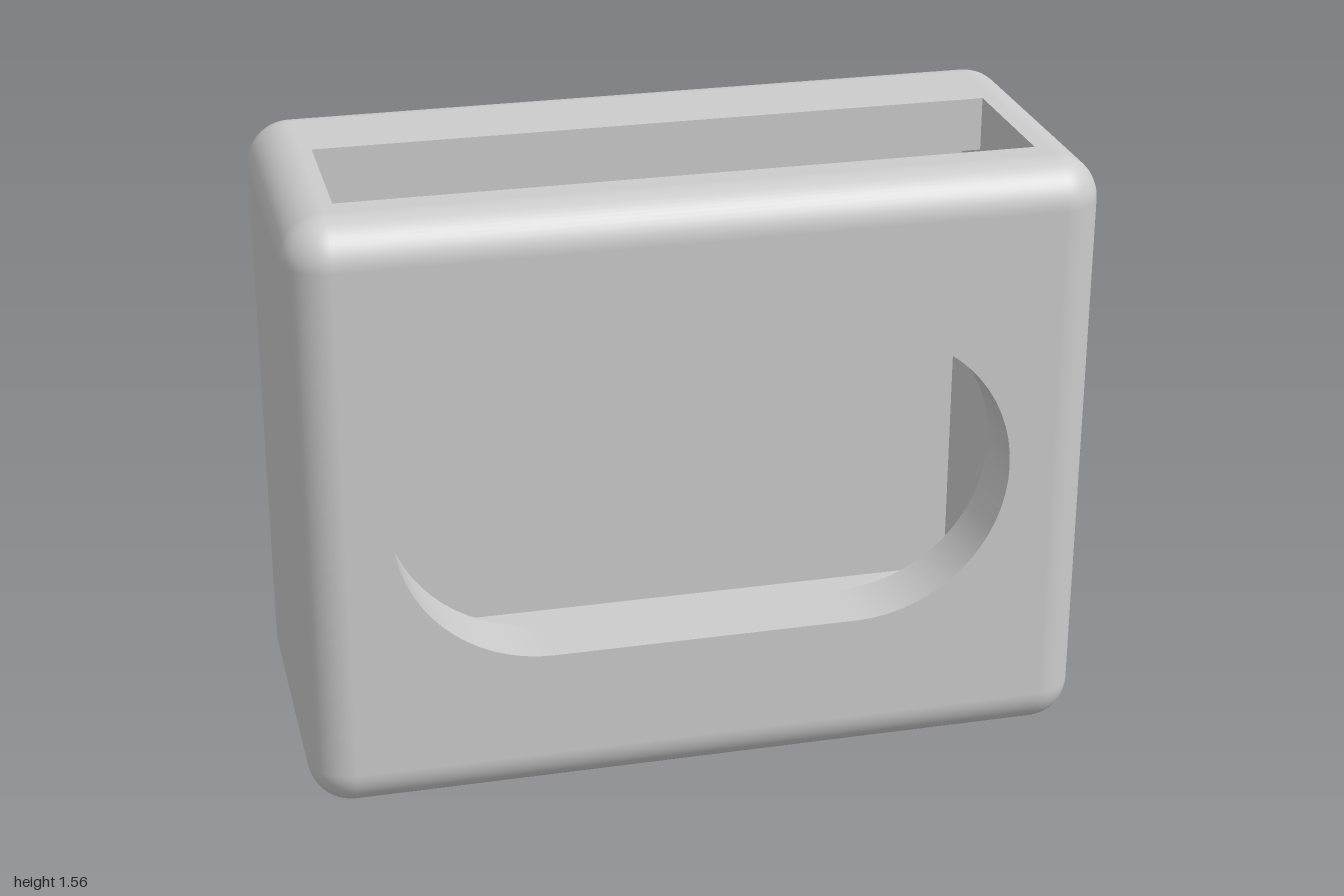
import * as THREE from 'three';
import { toCreasedNormals } from 'three/addons/utils/BufferGeometryUtils.js';
import { RoundedBoxGeometry } from 'three/addons/geometries/RoundedBoxGeometry.js';

const W = 2, H = 1.556, D = 0.889, R = 0.111;      // outer case and edge radius
const SLOT_X = 0.861, SLOT_FRONT = 0.278, SLOT_BACK = -0.111;
const CAVITY_BACK = -0.25, LIP = 0.139;            // wider pocket between the lips
const WIN_R = 0.389, WIN_X = 0.389;                // rounded window

const material = new THREE.MeshStandardMaterial({ color: 0xcccccc, side: THREE.DoubleSide });

function rect(x0, y0, x1, y1) {
  return [[x0, y0], [x1, y0], [x1, y1], [x0, y1]].map(p => new THREE.Vector2(...p));
}

// Counter-clockwise window outline around the middle of the front
function windowOutline(n = 32) {
  const pts = [];
  for (const side of [1, -1]) {
    for (let i = 0; i <= n; i++) {
      const a = -Math.PI / 2 + Math.PI * i / n;
      pts.push(new THREE.Vector2(side * (WIN_X + WIN_R * Math.cos(a)), H / 2 + side * WIN_R * Math.sin(a)));
    }
  }
  return pts;
}

// Flat face with an optional hole
function face(outline, hole) {
  const shape = new THREE.Shape(outline);
  if (hole) shape.holes.push(new THREE.Path(hole));
  return new THREE.ShapeGeometry(shape);
}

// Walls swept along z from a polyline, facing its left-hand side
function walls(pts, z0, z1, closed) {
  const pos = [];
  const count = closed ? pts.length : pts.length - 1;
  for (let i = 0; i < count; i++) {
    const a = pts[i], b = pts[(i + 1) % pts.length];
    pos.push(a.x, a.y, z0, a.x, a.y, z1, b.x, b.y, z1);
    pos.push(a.x, a.y, z0, b.x, b.y, z1, b.x, b.y, z0);
  }
  const g = new THREE.BufferGeometry();
  g.setAttribute('position', new THREE.Float32BufferAttribute(pos, 3));
  g.computeVertexNormals();
  return toCreasedNormals(g, 0.5);
}

// Rounded case without its flat front, top and bottom centres
function openCase() {
  const box = new RoundedBoxGeometry(W, H, D, 6, R);
  const src = box.index ? box.toNonIndexed() : box;
  const p = src.attributes.position, n = src.attributes.normal;
  const pos = [], nor = [];
  for (let i = 0; i < p.count; i += 3) {
    const k = [i, i + 1, i + 2];
    const on = f => k.every(j => Math.abs(f(j)) < 1e-4);
    if (on(j => p.getY(j) - H / 2) || on(j => p.getY(j) + H / 2) || on(j => p.getZ(j) - D / 2)) continue;
    for (const j of k) {
      pos.push(p.getX(j), p.getY(j) + H / 2, p.getZ(j));
      nor.push(n.getX(j), n.getY(j), n.getZ(j));
    }
  }
  const g = new THREE.BufferGeometry();
  g.setAttribute('position', new THREE.Float32BufferAttribute(pos, 3));
  g.setAttribute('normal', new THREE.Float32BufferAttribute(nor, 3));
  return g;
}

export function createModel() {
  const group = new THREE.Group();
  group.name = 'slottedCase';
  const add = (name, geometry) => {
    const mesh = new THREE.Mesh(geometry, material);
    mesh.name = name;
    group.add(mesh);
  };
  const fx = W / 2 - R, fz = D / 2 - R;

  // Outer skin
  add('roundedCase', openCase());
  add('frontFace', face(rect(-fx, R, fx, H - R), windowOutline()).translate(0, 0, D / 2));
  add('topFace', face(rect(-fx, -fz, fx, fz), rect(-SLOT_X, -SLOT_FRONT, SLOT_X, -SLOT_BACK))
    .rotateX(-Math.PI / 2).translate(0, H, 0));
  add('bottomFace', face(rect(-fx, -fz, fx, fz), rect(-SLOT_X, SLOT_BACK, SLOT_X, SLOT_FRONT))
    .rotateX(Math.PI / 2));

  // Window through the front wall
  add('windowRim', walls(windowOutline(), SLOT_FRONT, D / 2, true));
  add('innerFrontWall', face(rect(-SLOT_X, 0, SLOT_X, H), windowOutline()).translate(0, 0, SLOT_FRONT));

  // Stepped cavity, drawn in side profile (x = -z) and turned across the case
  const profile = [
    [-SLOT_FRONT, 0], [-SLOT_BACK, 0], [-SLOT_BACK, LIP], [-CAVITY_BACK, LIP],
    [-CAVITY_BACK, H - LIP], [-SLOT_BACK, H - LIP], [-SLOT_BACK, H], [-SLOT_FRONT, H],
  ].map(p => new THREE.Vector2(...p));
  add('innerBackWall', walls(profile.slice(1, 7), -SLOT_X, SLOT_X, false).rotateY(Math.PI / 2));
  for (const [name, x] of [['innerLeftWall', SLOT_X], ['innerRightWall', -SLOT_X]]) {
    add(name, face(profile).rotateY(Math.PI / 2).translate(x, 0, 0));
  }
  return group;
}
